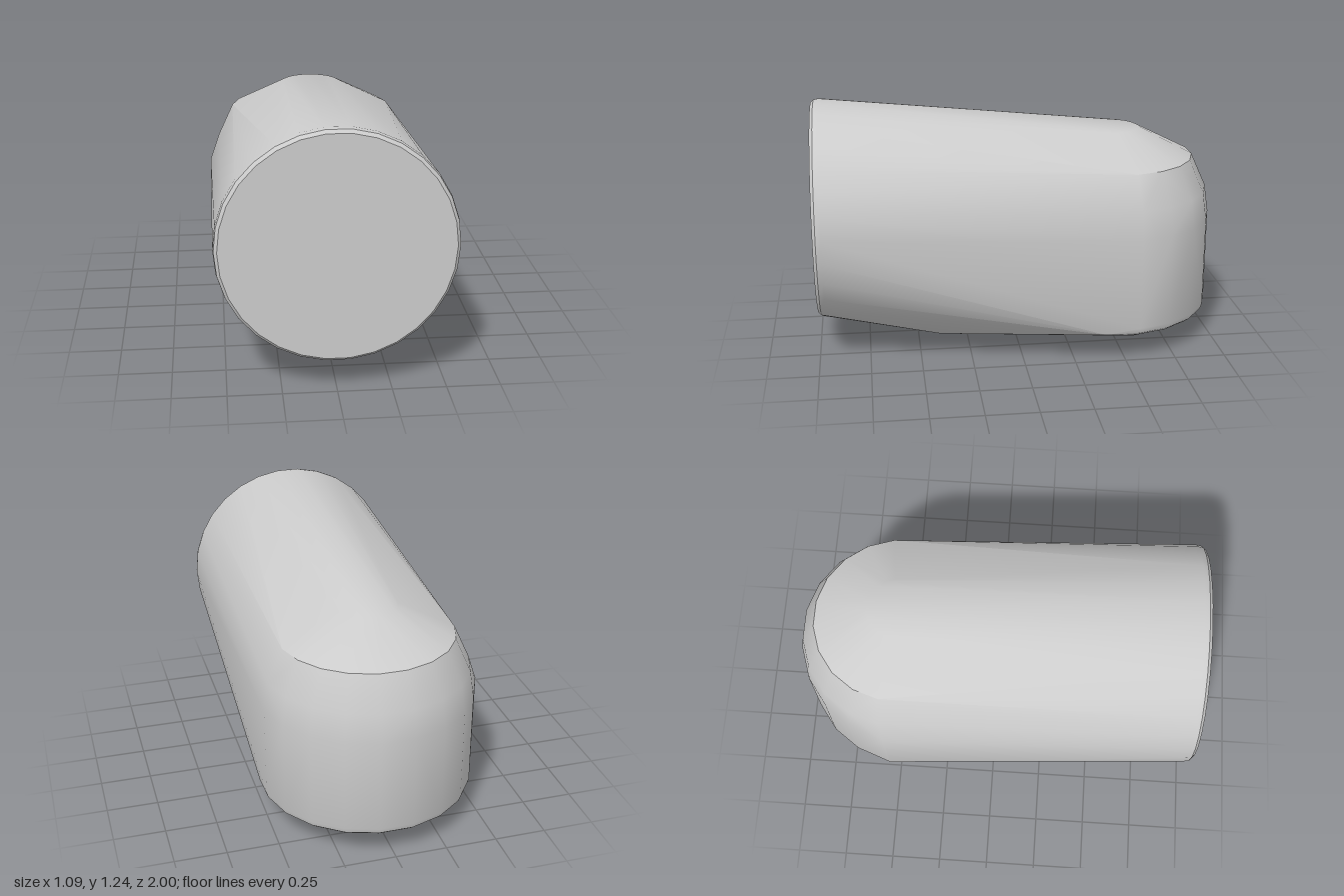
import * as THREE from 'three';
import { ConvexGeometry } from 'three/addons/geometries/ConvexGeometry.js';
import { toCreasedNormals } from 'three/addons/utils/BufferGeometryUtils.js';

export function createModel() {
  const group = new THREE.Group();
  const points = [];
  const add = (x, y, z) => points.push(new THREE.Vector3(x, y, z));

  // Round front face with a small chamfer: [radius, z]
  for (const [r, z] of [[0.528, 1], [0.543, 0.985], [0.547, 0.96]]) {
    for (let i = 0; i < 30; i++) {
      const a = ((i + 0.5) / 30) * Math.PI * 2;
      add(r * Math.sin(a), 0.697 + r * Math.cos(a), z);
    }
  }

  // Upright rounded back end: horizontal half rings [radius, y]
  const rings = [
    [0.1, 0.006], [0.2, 0.022], [0.3, 0.049], [0.4, 0.087], [0.49, 0.132],
    [0.512, 0.15], [0.52, 0.175], [0.52, 0.63], [0.499, 0.77], [0.424, 0.933], [0.15, 1.073],
  ];
  for (const [r, y] of rings) {
    for (let i = 0; i < 10; i++) {
      const a = ((i - 4.5) / 20) * Math.PI * 2;
      add(r * Math.sin(a), y, -0.486 - r * Math.cos(a));
    }
  }

  // Slightly wider wall on the model's right
  add(-0.543, 0.23, -0.54);
  add(-0.545, 0.63, -0.54);

  // Belly ridge where the underside rises to the front
  add(0, 0.004, -0.486);
  add(0, 0.008, 0.17);
  for (const s of [-1, 1]) {
    add(s * 0.14, 0.032, 0.22);
    add(s * 0.28, 0.1, 0.4);
    add(s * 0.51, 0.148, -0.4);
  }

  const body = new THREE.Mesh(
    toCreasedNormals(new ConvexGeometry(points), 0.56),
    new THREE.MeshStandardMaterial({ color: 0xcccccc })
  );
  body.name = 'body';
  group.add(body);
  return group;
}
